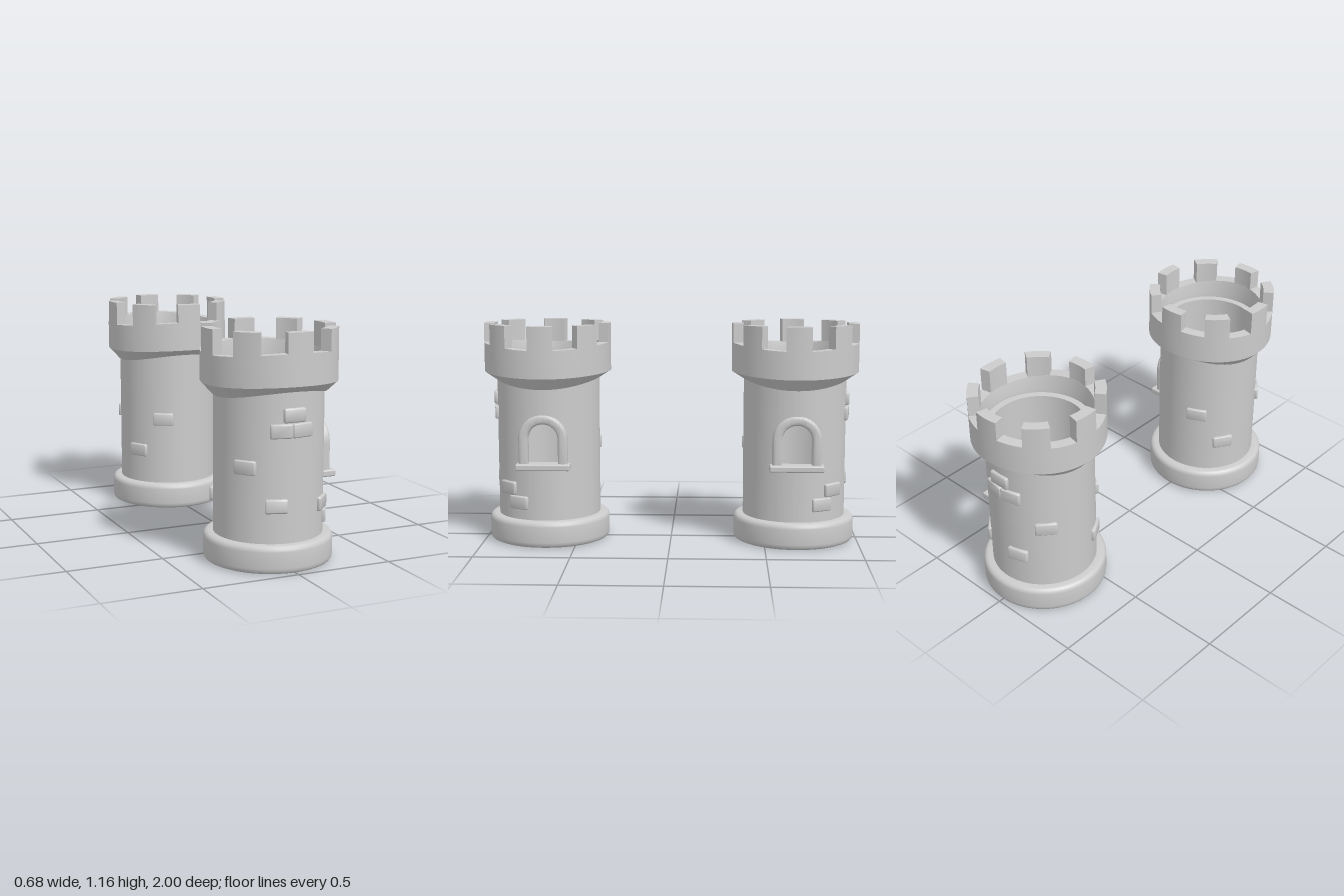
import * as THREE from 'three';
import { toCreasedNormals } from 'three/addons/utils/BufferGeometryUtils.js';
import { RoundedBoxGeometry } from 'three/addons/geometries/RoundedBoxGeometry.js';

const grey = new THREE.MeshStandardMaterial({ color: 0xcccccc });
const SEG = 64, WALL_R = 0.273, WALL_IN = 0.235, TOP = 0.96;
const ARCH_Y = 0.573, ARCH_R = 0.1, SILL_Y = 0.43;

function add(group, name, geometry) {
  const mesh = new THREE.Mesh(geometry, grey);
  mesh.name = name;
  group.add(mesh);
  return mesh;
}

// Moves every vertex by a rule, then rebuilds normals with sharp edges kept
function reshape(geometry, rule, crease = 0.6) {
  const p = geometry.attributes.position, v = new THREE.Vector3();
  for (let i = 0; i < p.count; i++) {
    rule(v.fromBufferAttribute(p, i), i);
    p.setXYZ(i, v.x, v.y, v.z);
  }
  return toCreasedNormals(geometry, crease);
}

// Wraps a block round the tower: x becomes arc length, z becomes radius
function bend(geometry, angle, y, radius) {
  return reshape(geometry, v => {
    const a = angle + v.x / radius, r = radius + v.z;
    v.set(r * Math.sin(a), y + v.y, r * Math.cos(a));
  });
}

// Revolved ring; the third number of a point is how far it sways in height round the ring
function ring(profile) {
  const geo = new THREE.LatheGeometry(profile.map(([r, y]) => new THREE.Vector2(r, y)), SEG);
  return reshape(geo, (v, i) => {
    const sway = profile[i % profile.length][2] || 0;
    v.y += sway * Math.cos(2 * Math.atan2(v.x, v.z));
  });
}

// Curved sheet of wall between two angles (measured from +x) and two height rules
function sheet(radius, from, to, low, high, inward) {
  const geo = new THREE.PlaneGeometry(1, 1, to - from > 2 ? SEG : 24, 1);
  return reshape(geo, v => {
    const u = inward ? 0.5 - v.x : 0.5 + v.x;
    const t = from + (to - from) * u, z = -radius * Math.sin(t);
    v.set(radius * Math.cos(t), v.y < 0 ? low(z) : high(z), z);
  });
}

function addWall(tower) {
  const bottom = () => 0.1, top = () => TOP, sill = () => SILL_Y;
  const arch = z => ARCH_Y + Math.sqrt(Math.max(0, ARCH_R * ARCH_R - z * z));
  for (const [r, inward, name] of [[WALL_R, false, 'outerWall'], [WALL_IN, true, 'innerWall']]) {
    const a = Math.asin(ARCH_R / r);
    add(tower, name, sheet(r, a, 2 * Math.PI - a, bottom, top, inward));
    add(tower, name + 'BelowWindow', sheet(r, -a, a, bottom, sill, inward));
    add(tower, name + 'AboveWindow', sheet(r, -a, a, arch, top, inward));
  }
}

function addWindow(tower) {
  const b = 0.016, outer = 0.128 - b, inner = 0.078 + b;
  const shape = new THREE.Shape();
  shape.moveTo(outer, SILL_Y);
  shape.lineTo(outer, ARCH_Y);
  shape.absarc(0, ARCH_Y, outer, 0, Math.PI, false);
  shape.lineTo(-outer, SILL_Y);
  shape.lineTo(-inner, SILL_Y);
  shape.lineTo(-inner, ARCH_Y);
  shape.absarc(0, ARCH_Y, inner, Math.PI, 0, true);
  shape.lineTo(inner, SILL_Y);
  const frame = new THREE.ExtrudeGeometry(shape, {
    depth: 0.065 - 2 * b, bevelThickness: b, bevelSize: b, bevelSegments: 4, curveSegments: 20,
  });
  frame.rotateY(Math.PI / 2).translate(0.217 + b, 0, 0);
  add(tower, 'windowFrame', toCreasedNormals(frame, 0.7));
  const sill = add(tower, 'windowSill', new RoundedBoxGeometry(0.088, 0.034, 0.285, 3, 0.008));
  sill.position.set(0.261, 0.427, 0);
}

// Raised bricks: angle in degrees from the outer face, height, width
const BRICKS = [
  [0, 0.765, 0.11], [-13.5, 0.69, 0.108], [9, 0.69, 0.108],
  [-50, 0.51, 0.11], [-18, 0.326, 0.108],
  [46, 0.303, 0.11], [61, 0.23, 0.11],
  [207, 0.51, 0.11], [239, 0.325, 0.11],
];

function makeTower(side) {
  const tower = new THREE.Group();
  tower.name = side > 0 ? 'frontTower' : 'backTower';

  add(tower, 'baseRing', ring([
    [0.235, 0.115], [0.25, 0.1], [0.25, 0.02], [0.275, 0.006], [0.28, 0], [0.3, 0],
    [0.314, 0.006], [0.321, 0.016], [0.323, 0.03], [0.323, 0.112], [0.321, 0.124],
    [0.313, 0.135], [0.3, 0.14], [0.265, 0.14],
  ]));
  addWall(tower);
  addWindow(tower);

  // Flared crown with gently swaying lower edge and rim
  add(tower, 'crown', ring([
    [0.262, 0.855, 0.022], [0.283, 0.855, 0.022], [0.338, 0.902, 0.008],
    [0.338, 1.052, 0.013], [0.282, 1.052, 0.013], [0.27, 0.975], [0.27, TOP], [WALL_IN, TOP],
  ]));
  const r = 0.31, width = r * THREE.MathUtils.degToRad(22.6);
  for (let i = 0; i < 8; i++) {
    const block = new THREE.BoxGeometry(width, 0.145, 0.056, 6, 1, 1);
    add(tower, 'merlon', bend(block, i * Math.PI / 4, 1.0915, r));
  }

  // Bricks are mirrored on the back tower
  for (const [deg, y, w] of BRICKS) {
    const a = THREE.MathUtils.degToRad(side > 0 ? deg : 180 - deg);
    add(tower, 'brick', bend(new RoundedBoxGeometry(w, 0.07, 0.04, 3, 0.009), a, y, 0.271));
  }
  tower.position.z = side * 0.662;
  return tower;
}

export function createModel() {
  const model = new THREE.Group();
  model.name = 'castleTowers';
  model.add(makeTower(1), makeTower(-1));
  return model;
}
